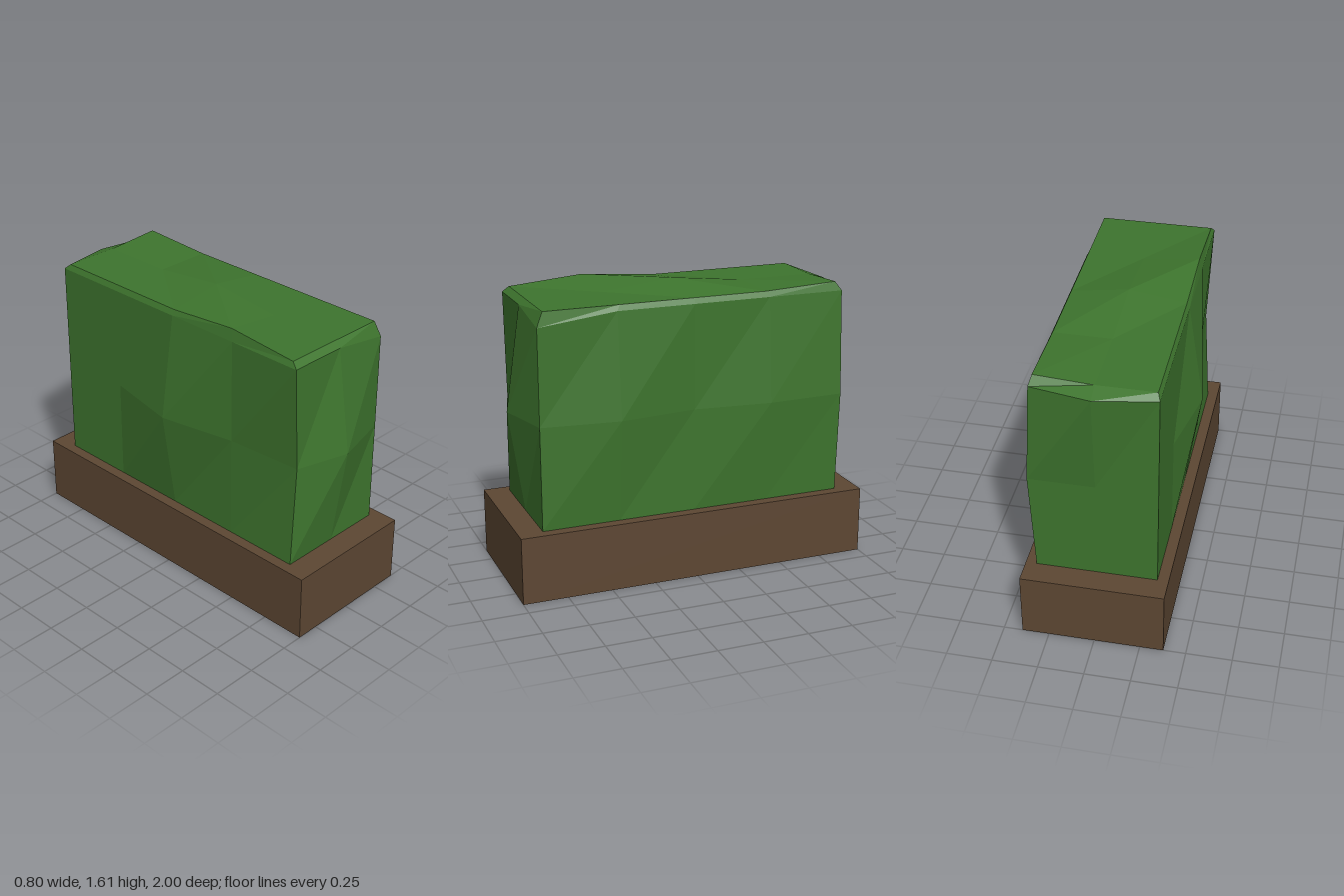
import * as THREE from 'three';

const soil = new THREE.MeshStandardMaterial({ color: 0x5d4733 });
soil.name = 'planter brown';
const leaf = new THREE.MeshStandardMaterial({ color: 0x3e752e, flatShading: true });
leaf.name = 'hedge green';

// Small dents and bulges on the hedge: grid column (x), level (y), row (z), then the offset
const bumps = [
  // left side, mid height
  [2, 1, 3, 0.05, 0, 0], [2, 1, 1, 0.045, 0, 0], [2, 1, 0, 0.03, 0, 0],
  // right side, mid height
  [0, 1, 4, 0.03, 0, 0], [0, 1, 2, -0.085, 0, 0],
  // front and back
  [1, 1, 4, 0, 0, 0.085], [2, 2, 4, 0, -0.05, 0], [1, 2, 0, 0, 0, -0.06],
  // uneven top
  [0, 3, 3, 0, 0.035, 0], [1, 3, 2, 0, 0.045, 0], [2, 3, 0, 0, 0.02, 0],
];

function hedgeGeometry() {
  const geo = new THREE.BoxGeometry(2, 3, 4, 2, 3, 4);
  const pos = geo.attributes.position;
  const levels = [0.375, 0.95, 1.53, 1.56];
  for (let n = 0; n < pos.count; n++) {
    const i = Math.round(pos.getX(n) + 1);
    const j = Math.round(pos.getY(n) + 1.5);
    const k = Math.round(pos.getZ(n) + 2);
    // The top level is drawn in to make a narrow bevel
    const top = j === 3;
    const p = [
      0.01 + (i - 1) * (top ? 0.313 : 0.328),
      levels[j],
      (k - 2) * (top ? 0.415 : 0.4325),
    ];
    for (const [bi, bj, bk, dx, dy, dz] of bumps) {
      if (bi === i && bj === j && bk === k) {
        p[0] += dx;
        p[1] += dy;
        p[2] += dz;
      }
    }
    pos.setXYZ(n, ...p);
  }
  const flat = geo.toNonIndexed();
  flat.computeVertexNormals();
  return flat;
}

export function createModel() {
  const group = new THREE.Group();
  group.name = 'hedgePlanter';

  // Wooden trough
  const planter = new THREE.Mesh(new THREE.BoxGeometry(0.776, 0.375, 2), soil);
  planter.name = 'planter';
  planter.position.set(0.01, 0.1875, 0);
  group.add(planter);

  // Clipped hedge
  const hedge = new THREE.Mesh(hedgeGeometry(), leaf);
  hedge.name = 'hedge';
  group.add(hedge);

  return group;
}
